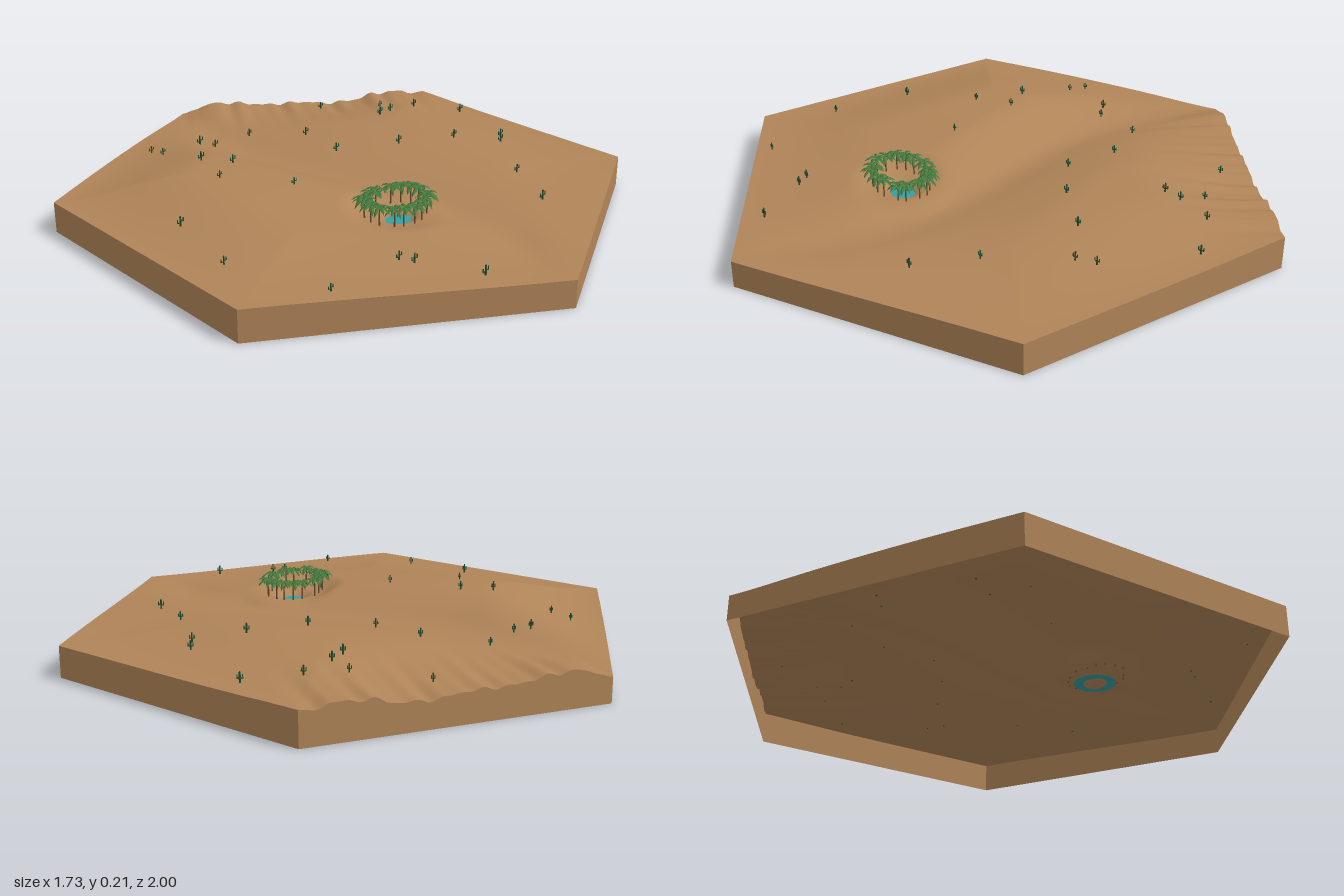
import * as THREE from 'three';
import { mergeGeometries, mergeVertices } from 'three/addons/utils/BufferGeometryUtils.js';

const APOTHEM = Math.sqrt(3) / 2;
const POND = { x: -0.09, z: 0.34 };
const { smoothstep, lerp } = THREE.MathUtils;
const gauss = (v, s) => Math.exp(-0.5 * (v / s) ** 2);

function seeded(seed) {
  return () => (seed = (seed * 16807) % 2147483647) / 2147483647;
}

function material(name, color, side = THREE.FrontSide) {
  const m = new THREE.MeshStandardMaterial({ color, side });
  m.name = name;
  return m;
}

// Height of the eroded back-right rim above its base, from the back corner on
const RIM = [[0, -0.01], [0.08, 0.014], [0.13, 0.026], [0.22, 0.018], [0.35, 0], [0.5, -0.002],
  [0.58, -0.016], [0.68, -0.014], [0.8, 0.01], [0.9, 0.014], [0.96, 0], [1, 0.006]];
function rim(t) {
  if (t <= 0) return RIM[0][1];
  if (t >= 1) return RIM[RIM.length - 1][1];
  const i = RIM.findIndex((p) => p[0] > t);
  const [a, b] = [RIM[i - 1], RIM[i]];
  return lerp(a[1], b[1], smoothstep(t, a[0], b[0]));
}

// Distance from a point to the nearest edge of the hexagon
function edgeDistance(x, z) {
  const a = Math.abs(x), b = Math.abs(z);
  return APOTHEM - Math.max(a, a * 0.5 + b * APOTHEM);
}

// Height of the sand: two dunes, a winding valley, gullies and the pond hollow
function height(x, z) {
  const inland = smoothstep(edgeDistance(x, z), 0, 0.42);
  const u = 0.0125 + 0.0975 * Math.sin((z + 0.025) * Math.PI / 0.95) - x;
  let h = 0.107 - 0.014 * smoothstep(z, 0.5, 1) - 0.012 * smoothstep(-z, 0.6, 1);
  h += inland * 0.07 * smoothstep(u, 0, 0.28) * gauss(z + 0.25, 0.5);
  h += inland * 0.046 * smoothstep(-u, 0, 0.38) * gauss(z + 0.15, 0.4);
  h -= 0.015 * gauss(u, 0.07) * smoothstep(edgeDistance(x, z), 0, 0.25);

  // gullies running inward from the back-right edge
  const t = x * APOTHEM + (z + 1) * 0.5;
  const d = Math.max(0, APOTHEM - (x * 0.5 - z * APOTHEM));
  const sides = smoothstep(t, 0, 0.1) * smoothstep(1 - t, 0, 0.1);
  const ripple = 0.004 * Math.sin(t * 58 + 1) + 0.003 * Math.sin(t * 91);
  h += (rim(t) + ripple * sides) * Math.exp(-((d / 0.2) ** 2));

  const r = Math.hypot(x - POND.x, (z - POND.z) * 1.1);
  h = lerp(0.112, h, smoothstep(r, 0.09, 0.2));
  return h - 0.042 * (1 - smoothstep(r, 0, 0.09));
}

const corner = (k) => [Math.sin(k * Math.PI / 3), Math.cos(k * Math.PI / 3)];

function indexed(positions, indices) {
  const g = new THREE.BufferGeometry();
  g.setAttribute('position', new THREE.Float32BufferAttribute(positions, 3));
  g.setIndex(indices);
  return g;
}

// Sand surface: six triangular sectors, each divided into rows
function terrainGeometry(n = 80) {
  const pos = [], idx = [];
  for (let s = 0; s < 6; s++) {
    const [ax, az] = corner(s), [bx, bz] = corner(s + 1);
    const start = pos.length / 3;
    const at = (i, j) => start + i * (i + 1) / 2 + j;
    for (let i = 0; i <= n; i++) {
      for (let j = 0; j <= i; j++) {
        const x = (ax * (i - j) + bx * j) / n, z = (az * (i - j) + bz * j) / n;
        pos.push(x, height(x, z), z);
        if (i < n) idx.push(at(i, j), at(i + 1, j), at(i + 1, j + 1));
        if (i < n && j < i) idx.push(at(i, j), at(i + 1, j + 1), at(i, j + 1));
      }
    }
  }
  const g = mergeVertices(indexed(pos, idx), 1e-5);
  g.computeVertexNormals();
  return g;
}

// One upright side, its top edge following the sand
function wallGeometry(s, n = 80) {
  const [ax, az] = corner(s), [bx, bz] = corner(s + 1);
  const pos = [], idx = [];
  for (let i = 0; i <= n; i++) {
    const x = lerp(ax, bx, i / n), z = lerp(az, bz, i / n), k = i * 2;
    pos.push(x, 0, z, x, height(x, z), z);
    if (i < n) idx.push(k, k + 2, k + 3, k, k + 3, k + 1);
  }
  const g = indexed(pos, idx);
  g.computeVertexNormals();
  return g;
}

// Cactus: a ribbed column with two raised arms
function cactusGeometry() {
  const parts = [new THREE.CylinderGeometry(0.0026, 0.003, 0.03, 6).translate(0, 0.013, 0),
    new THREE.SphereGeometry(0.0026, 6, 4).translate(0, 0.028, 0)];
  for (const [side, y] of [[-1, 0.01], [1, 0.014]]) {
    parts.push(new THREE.CylinderGeometry(0.0018, 0.0018, 0.01, 5)
      .rotateZ(Math.PI / 2).translate(side * 0.005, y, 0));
    parts.push(new THREE.CylinderGeometry(0.0016, 0.002, 0.011, 5)
      .translate(side * 0.01, y + 0.0045, 0));
  }
  return mergeGeometries(parts);
}

// Palm crown: folded fronds that arch and droop
function crownGeometry(count = 8) {
  const fronds = [];
  for (let i = 0; i < count; i++) {
    const f = indexed([0, 0, 0, 0.016, 0.003, 0.007, 0.016, 0.008, 0, 0.016, 0.003, -0.007,
      0.031, -0.006, 0.005, 0.031, -0.002, 0, 0.031, -0.006, -0.005, 0.04, -0.016, 0],
    [0, 1, 2, 0, 2, 3, 1, 4, 5, 1, 5, 2, 2, 5, 6, 2, 6, 3, 4, 7, 5, 5, 7, 6]).toNonIndexed();
    f.rotateZ(i % 2 ? 0.15 : -0.12).rotateY(i * 2 * Math.PI / count);
    fronds.push(f);
  }
  const g = mergeGeometries(fronds);
  g.computeVertexNormals();
  return g;
}

const CACTI = [[-0.38, -0.65], [-0.38, -0.575], [-0.2, -0.6], [-0.16, -0.56], [0.01, -0.575],
  [0.42, -0.635], [0.135, -0.39], [0.56, -0.435], [0.535, -0.35], [0.47, -0.34], [0.665, -0.35],
  [0.79, -0.215], [-0.375, -0.345], [-0.31, -0.25], [-0.425, -0.17], [0.12, -0.2], [0.3, -0.06],
  [-0.69, -0.02], [-0.265, 0.025], [0.49, 0.035], [0.675, 0.1], [0.625, 0.145], [-0.735, 0.265],
  [0.45, 0.375], [0.355, 0.57], [-0.6, 0.59], [-0.325, 0.585], [-0.3, 0.625], [-0.185, 0.805]];

export function createModel() {
  const model = new THREE.Group();
  model.name = 'desertTile';
  const sand = material('sand', 0xb08458, THREE.DoubleSide);
  const water = material('water', 0x349ea4, THREE.DoubleSide);
  const leaf = material('palmLeaf', 0x467a3e, THREE.DoubleSide);
  const bark = material('palmBark', 0x6b4a2e);
  const cactusGreen = material('cactusGreen', 0x1f4d33);
  const rand = seeded(71);

  const add = (parent, name, geometry, mat) => {
    const mesh = new THREE.Mesh(geometry, mat);
    mesh.name = name;
    parent.add(mesh);
    return mesh;
  };

  add(model, 'dunes', terrainGeometry(), sand);
  for (let s = 0; s < 6; s++) add(model, 'sideWall', wallGeometry(s), sand);

  // Pond in the hollow
  const pond = add(model, 'pond', new THREE.CircleGeometry(0.075, 32).rotateX(-Math.PI / 2), water);
  pond.position.set(POND.x, 0.091, POND.z);

  // Ring of palms around the pond
  const crown = crownGeometry();
  const count = 16;
  for (let i = 0; i < count; i++) {
    const a = (i + (rand() - 0.5) * 0.5) * 2 * Math.PI / count, k = 0.94 + rand() * 0.12;
    const x = -0.1 + Math.cos(a) * 0.112 * k, z = 0.34 + Math.sin(a) * 0.088 * k;
    const tall = 0.054 + rand() * 0.012;
    const palm = new THREE.Group();
    palm.name = 'palm';
    palm.position.set(x, height(x, z), z);
    add(palm, 'trunk', new THREE.CylinderGeometry(0.002, 0.0032, tall + 0.006, 6)
      .translate(0, tall / 2 - 0.003, 0), bark);
    const top = add(palm, 'crown', crown, leaf);
    top.position.y = tall;
    top.rotation.y = rand() * Math.PI;
    model.add(palm);
  }

  // Scattered cacti
  const cactus = cactusGeometry();
  for (const [x, z] of CACTI) {
    const c = add(model, 'cactus', cactus, cactusGreen);
    c.position.set(x, height(x, z), z);
    c.scale.setScalar(0.85 + rand() * 0.3);
  }
  return model;
}
